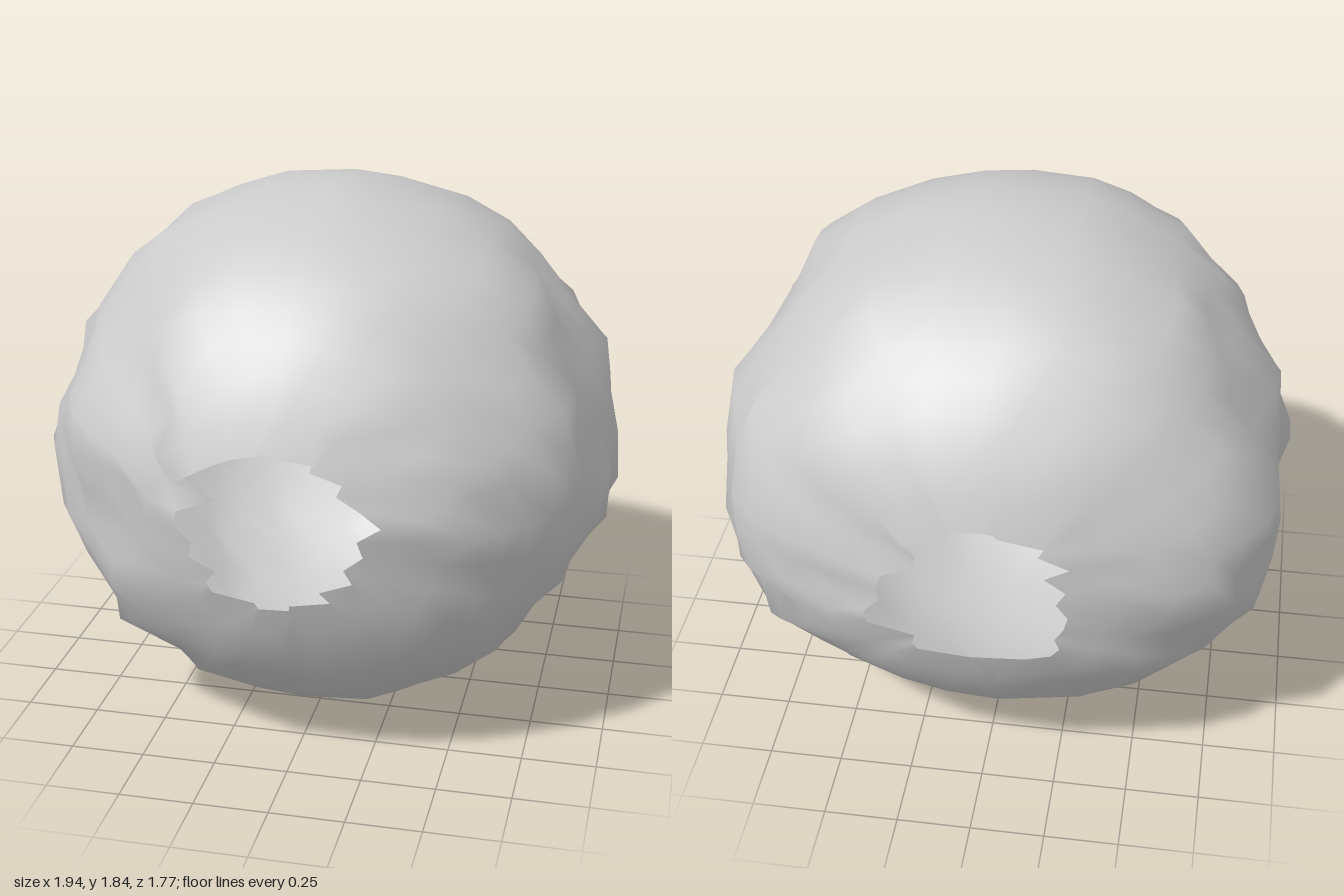
import * as THREE from 'three';

const R = 0.92;       // shell radius
const HOLE = 0.285;   // polar angle of the opening rims
const AROUND = 32;    // segments round the z axis
const BANDS = 20;     // bands from front rim to back rim
const JITTER = 0.1;   // sideways crumple

function seeded(seed) {
  let s = seed;
  return () => {
    s = (Math.imul(s, 1664525) + 1013904223) >>> 0;
    return s / 4294967296;
  };
}

// Hollow sphere, open at front and back, with sideways bulges and creases
function crumpledShell() {
  const rand = seeded(17);
  const noise = [];
  for (let i = 0; i <= BANDS; i++) {
    noise.push(Array.from({ length: AROUND }, () => rand() * 2 - 1));
  }
  const at = (i, j) => noise[Math.min(BANDS, Math.max(0, i))][j];

  const positions = [];
  const indices = [];
  for (let i = 0; i <= BANDS; i++) {
    const t = HOLE + (Math.PI - 2 * HOLE) * i / BANDS;
    // the sides swell between rim and middle, more so at the back
    const bulge = (t > Math.PI / 2 ? 0.15 : 0.07) * Math.sin(2 * t) ** 2;
    for (let j = 0; j < AROUND; j++) {
      const p = j / AROUND * Math.PI * 2;
      // creases run from rim to rim, so blend only along that direction
      const crease = 0.5 * at(i, j) + 0.3 * (at(i - 1, j) + at(i + 1, j));
      const x = (R * 1.02 * Math.sin(t) + bulge) * Math.cos(p) + JITTER * crease * (1 - 0.35 * Math.sin(t));
      positions.push(
        THREE.MathUtils.clamp(x, -1, 1),
        R * Math.sin(t) * Math.sin(p),
        R * Math.cos(t)
      );
      if (i < BANDS) {
        const k = (j + 1) % AROUND;
        const a = i * AROUND + j, b = a + AROUND;
        const c = i * AROUND + k, d = c + AROUND;
        indices.push(a, b, c, b, d, c);
      }
    }
  }
  const geometry = new THREE.BufferGeometry();
  geometry.setAttribute('position', new THREE.Float32BufferAttribute(positions, 3));
  geometry.setIndex(indices);
  geometry.computeVertexNormals();
  return geometry;
}

export function createModel() {
  const group = new THREE.Group();
  group.name = 'crumpledRing';
  const material = new THREE.MeshStandardMaterial({ color: 0xcccccc, side: THREE.DoubleSide });
  const shell = new THREE.Mesh(crumpledShell(), material);
  shell.name = 'shell';
  shell.position.y = R;
  group.add(shell);
  return group;
}
